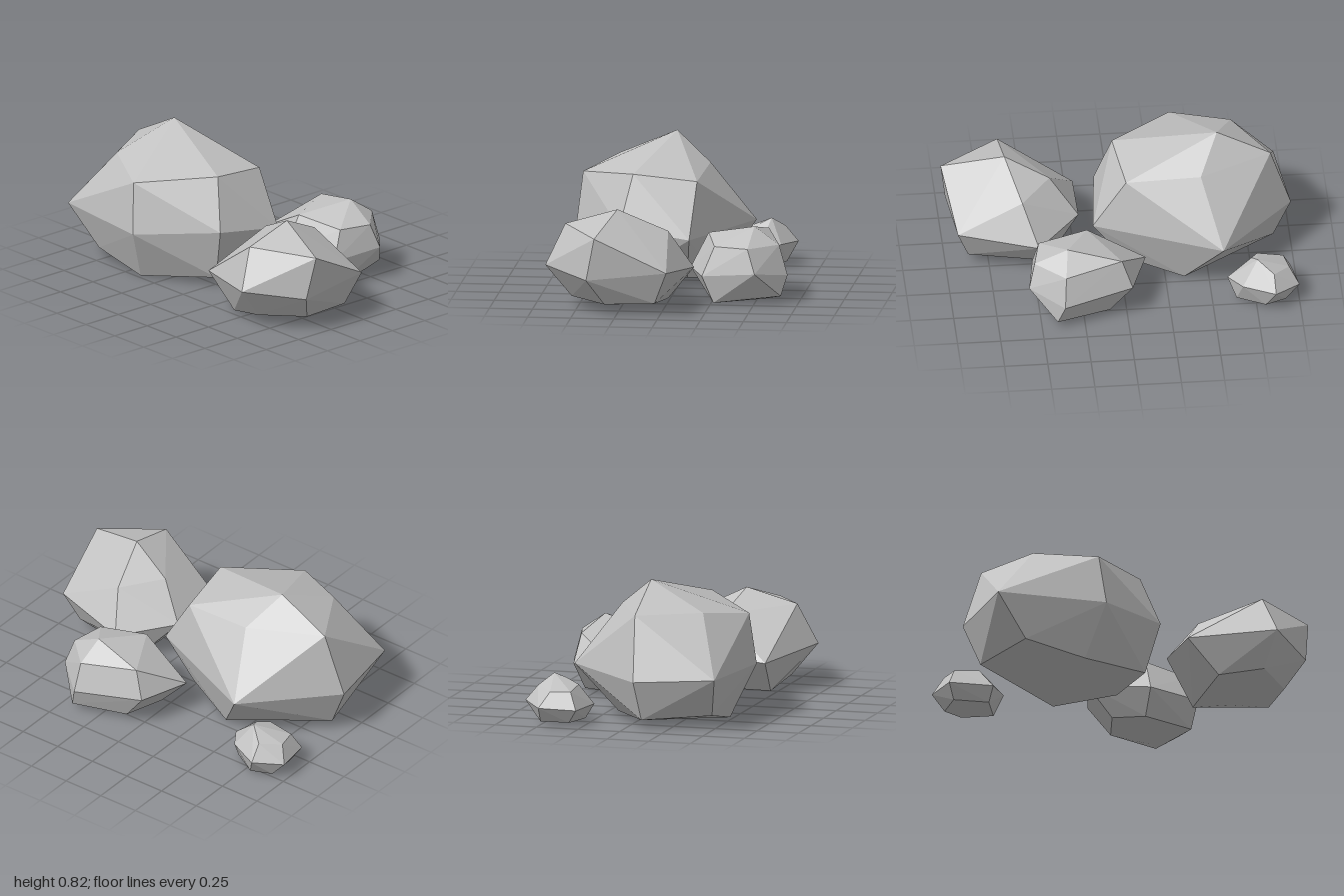
import * as THREE from 'three';
import { ConvexGeometry } from 'three/addons/geometries/ConvexGeometry.js';

// Each boulder is a faceted hull over its upper, middle and lower corner rings.
const boulders = {
  largeBoulder: {
    upper: [[-.57, .82, .06], [-.88, .66, .055], [-.68, .66, .405], [-.34, .61, .58],
      [.02, .665, .25], [-.03, .62, -.115], [-.46, .655, -.145]],
    middle: [[-.94, .315, .55], [-.305, .31, .615], [.12, .365, .32],
      [.16, .31, -.09], [-.57, .305, -.4], [-1, .29, .08]],
    lower: [[.04, .06, .28], [-.39, .003, .48], [-.75, .075, .48],
      [-.9, .055, .1], [-.36, 0, -.2], [-.02, .06, -.06]],
  },
  frontBoulder: {
    upper: [[.64, .575, .27], [1, .465, .365], [.655, .49, .57], [.385, .455, .205], [.56, .44, -.015]],
    middle: [[.475, .215, -.155], [.935, .26, -.045], [.97, .215, .415],
      [.71, .255, .68], [.225, .21, .505], [.225, .25, .115]],
    lower: [[.68, .07, .53], [.87, .06, .32], [.87, .07, .03],
      [.42, .015, .48], [.42, .02, 0], [.62, .02, .1]],
  },
  backBoulder: {
    upper: [[.34, .435, -.49], [.205, .37, -.21], [.49, .34, -.275],
      [.53, .335, -.47], [.36, .335, -.635], [.03, .37, -.54]],
    middle: [[.2, .165, -.105], [.52, .17, -.205], [.565, .195, -.515],
      [.37, .16, -.685], [-.03, .2, -.57], [-.13, .2, -.27]],
    lower: [[.5, .012, -.27], [.2, .02, -.2], [.03, .03, -.3],
      [.1, .035, -.54], [.41, .043, -.65], [.35, .015, -.545], [.48, .04, -.45]],
  },
  smallRock: {
    upper: [[-.85, .22, -.535], [-.945, .2, -.435], [-.92, .2, -.32],
      [-.77, .22, -.315], [-.73, .25, -.4], [-.76, .28, -.465]],
    middle: [[-.855, .13, -.61], [-1, .11, -.49], [-.965, .1, -.275],
      [-.71, .1, -.24], [-.59, .13, -.41], [-.67, .14, -.53]],
    lower: [[-.92, .02, -.5], [-.92, .02, -.33], [-.72, .015, -.29],
      [-.64, .01, -.45], [-.8, .02, -.55]],
  },
};

export function createModel() {
  const group = new THREE.Group();
  group.name = 'boulders';
  const stone = new THREE.MeshStandardMaterial({ color: 0xc2c2c2 });
  stone.name = 'grey stone';

  for (const [name, { upper, middle, lower }] of Object.entries(boulders)) {
    const corners = [...upper, ...middle, ...lower].map((p) => new THREE.Vector3(...p));
    const mesh = new THREE.Mesh(new ConvexGeometry(corners), stone);
    mesh.name = name;
    group.add(mesh);
  }
  return group;
}
